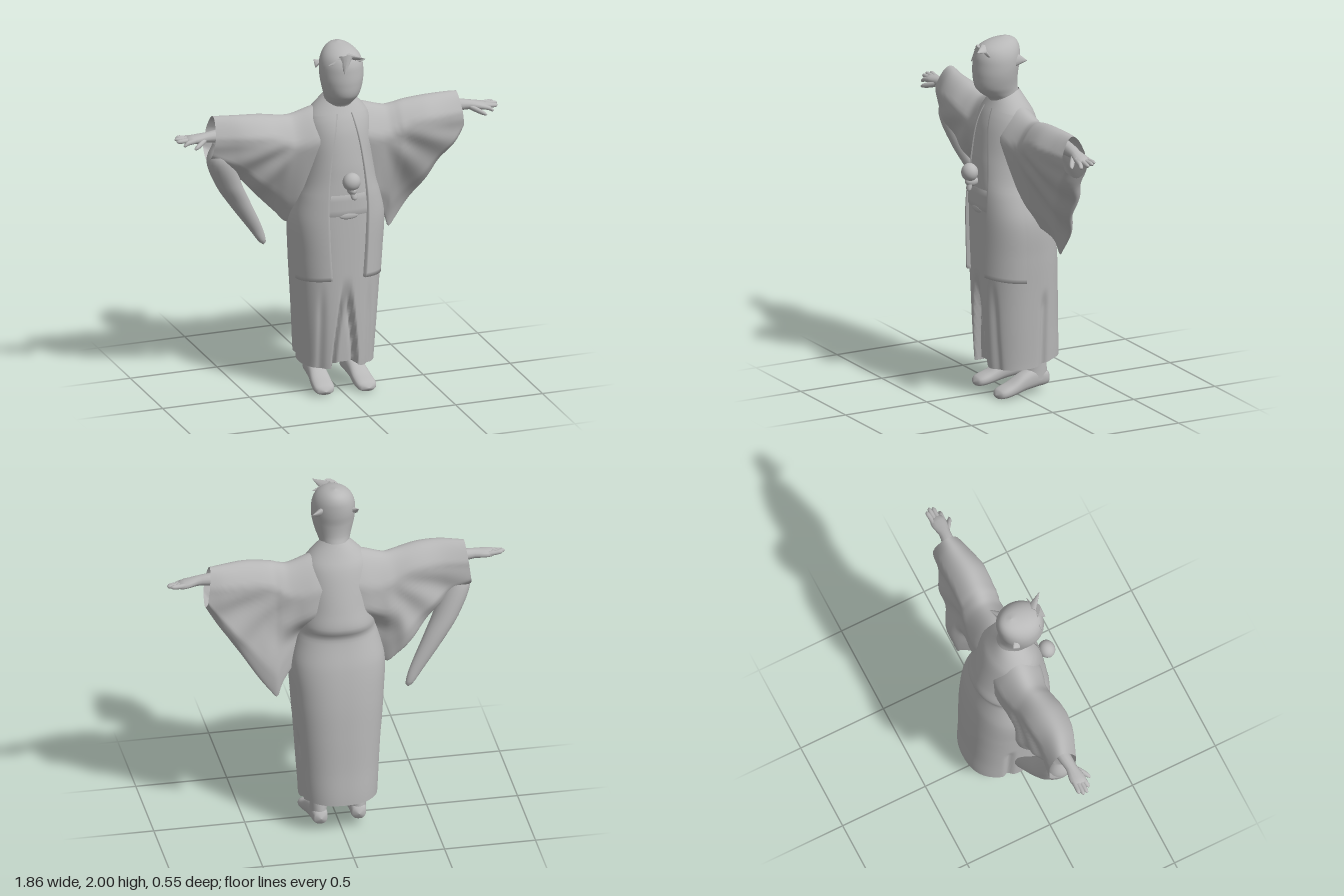
import * as THREE from 'three';

const clamp = (v) => Math.min(1, Math.max(0, v));
const step = (a, b, v) => { const t = clamp((v - a) / (b - a)); return t * t * (3 - 2 * t); };
const mix = (a, b, t) => a + (b - a) * t;
const pow = (v, p) => Math.sign(v) * Math.abs(v) ** p;
const bump = (v, c, w) => Math.exp(-(((v - c) / w) ** 2));

// Smooth lookup in a table whose first column is the key (ascending)
function look(table, k) {
  const n = table.length;
  let i = 0;
  while (i < n - 2 && k > table[i + 1][0]) i++;
  const a = table[i], b = table[i + 1], d = b[0] - a[0], t = clamp((k - a[0]) / d);
  const slope = (j, c) => {
    const p = table[Math.max(0, j - 1)], q = table[Math.min(n - 1, j + 1)];
    return ((q[c] - p[c]) / (q[0] - p[0])) * d;
  };
  return a.slice(1).map((v, m) => {
    const c = m + 1, t2 = t * t, t3 = t2 * t;
    return v * (2 * t3 - 3 * t2 + 1) + b[c] * (3 * t2 - 2 * t3)
      + slope(i, c) * (t3 - 2 * t2 + t) + slope(i + 1, c) * (t3 - t2);
  });
}

// Grid surface from f(u, v) -> [x, y, z]; wraps in u when closed, faces outwards
function surface(nu, nv, f, closed = true) {
  const cols = closed ? nu : nu + 1, pos = [], idx = [];
  for (let j = 0; j <= nv; j++) for (let i = 0; i < cols; i++) pos.push(...f(i / nu, j / nv));
  for (let j = 0; j < nv; j++) for (let i = 0; i < nu; i++) {
    const a = j * cols + i, b = j * cols + (i + 1) % cols, c = a + cols, d = b + cols;
    idx.push(a, b, d, a, d, c);
  }
  const P = (i) => new THREE.Vector3(pos[3 * i], pos[3 * i + 1] - 1, pos[3 * i + 2]);
  let volume = 0;
  for (let i = 0; i < idx.length; i += 3) volume += P(idx[i]).dot(P(idx[i + 1]).cross(P(idx[i + 2])));
  if (volume < 0) idx.reverse();
  const g = new THREE.BufferGeometry();
  g.setAttribute('position', new THREE.Float32BufferAttribute(pos, 3));
  g.setIndex(idx);
  g.computeVertexNormals();
  return g;
}

// Loft of ovals along an axis; rows are [t, centre1, centre2, radius1, radius2], t ascending
function loft(rows, axis, nu = 16, nv = 24, p = 1) {
  return surface(nu, nv, (u, v) => {
    const t = mix(rows[0][0], rows[rows.length - 1][0], v);
    const [c1, c2, r1, r2] = look(rows, t), a = u * Math.PI * 2;
    const q = c1 + Math.max(0, r1) * pow(Math.sin(a), p), r = c2 + Math.max(0, r2) * pow(Math.cos(a), p);
    return axis === 'x' ? [t, q, r] : axis === 'y' ? [q, t, r] : [q, r, t];
  });
}

// Robe profile: height, half width, front z, back z
const ROBE = [
  [0.15, 0.21, 0.165, -0.26], [0.2, 0.212, 0.17, -0.273], [0.4, 0.225, 0.18, -0.265],
  [0.6, 0.238, 0.186, -0.26], [0.8, 0.252, 0.19, -0.25], [1.0, 0.26, 0.193, -0.225],
  [1.15, 0.225, 0.194, -0.19], [1.19, 0.212, 0.194, -0.188], [1.24, 0.205, 0.193, -0.212],
  [1.34, 0.193, 0.188, -0.195], [1.5, 0.188, 0.165, -0.155], [1.58, 0.175, 0.14, -0.128],
  [1.63, 0.14, 0.115, -0.1], [1.7, 0.07, 0.08, -0.06],
];
// Sections are boxier below the waist than above it
const squareness = (y) => 0.85 + 0.13 * step(1.1, 1.4, y);

function robePoint(y, a, off = 0) {
  const [w, f, b] = look(ROBE, y), p = squareness(y), s = pow(Math.sin(a), p), c = pow(Math.cos(a), p);
  let x = (w + off) * s, z = (f + b) / 2 + ((f - b) / 2 + off) * c;
  if (off === 0) {
    // recessed centre panel that widens downwards, side pleats, and a slit behind each hip
    const low = 1 - step(0.45, 0.7, y), spread = 0.045 * (1 - step(0.15, 0.7, y));
    if (c > 0) {
      const l = -0.03 - spread, r = 0.008 + spread;
      z -= low * (0.03 * step(l - 0.012, l + 0.006, x) * (1 - step(r - 0.006, r + 0.012, x))
        + 0.03 * (bump(x, l + 0.008, 0.01) + bump(x, r - 0.008, 0.01))
        + 0.012 * bump(x, -0.14, 0.018) + 0.012 * bump(x, 0.13, 0.018));
    }
    x -= Math.sign(x) * 0.02 * bump(z, -0.1, 0.02) * (1 - step(0.5, 0.62, y));
  }
  return [x, y, z];
}
const hemY = (a) => 0.165 + 0.035 * step(0.2, -0.6, Math.cos(a)) + 0.03 * step(0.94, 1, Math.cos(a));

export function createModel() {
  const model = new THREE.Group();
  const clay = new THREE.MeshStandardMaterial({ color: 0xb8b8b8, side: THREE.DoubleSide });
  clay.name = 'plain grey';
  const add = (name, geometry, parent = model) => {
    const m = new THREE.Mesh(geometry, clay);
    m.name = name;
    parent.add(m);
    return m;
  };

  // Robe and the closed underside of its hem
  add('robe', surface(160, 80, (u, v) => {
    const a = u * Math.PI * 2;
    return robePoint(mix(hemY(a), 1.7, v), a);
  }));
  add('hemLining', surface(160, 2, (u, v) => {
    const a = u * Math.PI * 2, [x, y, z] = robePoint(hemY(a), a);
    return [x * (1 - v), y + 0.03 * v, mix(z, -0.05, v)];
  }));

  // Open coat fronts, with a turned-in edge and hem, fading into the robe at the side and collar
  const EDGE = [[0.66, 0.085], [0.9, 0.1], [1.15, 0.105], [1.4, 0.08], [1.66, 0.03]];
  for (const s of [1, -1]) {
    add(s > 0 ? 'leftCoatFront' : 'rightCoatFront', surface(24, 40, (u, v) => {
      const uu = Math.max(0, u - 1 / 24) * 24 / 23;
      const y = 0.685 - 0.025 * uu + 0.93 * Math.max(0, v - 0.025) / 0.975;
      const [w] = look(ROBE, y), [e] = look(EDGE, y);
      const a0 = Math.asin(clamp(e / w) ** (1 / squareness(y)));
      const off = u === 0 || v === 0 ? -0.02 : 0.02 * (1 - uu) * (1 - 0.92 * v) + 0.0005;
      return robePoint(y, s * mix(a0, 1.4, uu), off);
    }, false));
  }

  // Sash panel, its knot, and the pompon with a tassel
  add('sash', surface(16, 6, (u, v) => robePoint(1.03 + 0.16 * v, (u - 0.5) * 0.8,
    v === 0 || v === 1 ? -0.01 : 0.004), false));
  const ball = (name, r, x, y, z, sx = 1, sy = 1, sz = 1) => {
    const m = add(name, new THREE.SphereGeometry(r, 24, 16));
    m.position.set(x, y, z);
    m.scale.set(sx, sy, sz);
  };
  ball('sashKnot', 0.03, 0, 1.05, 0.19, 1.8, 0.7, 0.35);
  ball('pompon', 0.05, 0, 1.26, 0.235, 1, 1, 0.9);
  ball('pomponCord', 0.026, 0.005, 1.21, 0.225, 1, 1.1, 1.5);
  add('tassel', loft([[1.155, 0.012, 0.25, 0, 0], [1.165, 0.012, 0.248, 0.016, 0.012],
    [1.215, 0.005, 0.235, 0.02, 0.015]], 'y', 12, 8));

  // Sleeves: x, top, bottom, half thickness, centre z
  const SLEEVES = {
    left: [[0.05, 1.65, 1.15, 0.13, -0.005], [0.15, 1.625, 1.04, 0.136, -0.005],
      [0.27, 1.588, 0.955, 0.115, -0.01], [0.32, 1.592, 0.9, 0.11, -0.005], [0.345, 1.598, 0.835, 0.108, 0],
      [0.38, 1.605, 0.87, 0.106, 0], [0.5, 1.615, 1.04, 0.106, 0.004],
      [0.63, 1.612, 1.24, 0.088, -0.01], [0.695, 1.608, 1.38, 0.07, -0.015]],
    right: [[0.05, 1.65, 1.15, 0.13, -0.005], [0.15, 1.63, 1.04, 0.136, -0.005],
      [0.26, 1.6, 0.96, 0.115, -0.01], [0.32, 1.605, 1.015, 0.11, 0], [0.45, 1.628, 1.15, 0.112, 0.01],
      [0.57, 1.636, 1.28, 0.1, 0.005], [0.7, 1.635, 1.38, 0.08, -0.03]],
  };
  for (const [side, table] of Object.entries(SLEEVES)) {
    const s = side === 'left' ? 1 : -1, end = table[table.length - 1][0];
    add(side + 'Sleeve', surface(64, 56, (u, v) => {
      const x = mix(0.05, end, v), [top, bottom, w, centre] = look(table, x), a = u * Math.PI * 2;
      const depth = (1 - Math.cos(a)) / 2, d = (top - bottom) * depth, face = Math.sign(Math.sin(a));
      // next to the torso the back stays full down to the waist, then tucks under
      const inner = 1 - step(0.16, 0.42, x);
      const taper = 1 - 0.85 * clamp((d - 0.15) / 0.6);
      const tuck = 1 - 0.9 * step(0.3, 0.46, d);
      const h = w * Math.sqrt(clamp(d / (0.1 + 0.07 * inner)))
        * mix(taper, face < 0 ? tuck : taper, inner) * Math.sqrt(clamp((1 - depth) * 5));
      // folds fan out from the shoulder
      const fold = 0.01 * Math.sin(16 * Math.atan2(d, x - 0.12)) * step(0.1, 0.25, d) * step(0.22, 0.4, x);
      const z = centre - mix(0.14, 0.03, 1 - step(0.2, 0.36, x)) * step(0.12, 0.75, d);
      return [s * (x + 0.03 * depth * step(0.6, 0.7, x)), top - d, z + face * h + fold];
    }));
  }
  // Long loose flap trailing from the right cuff
  add('rightSleeveFlap', loft([[0.82, -0.372, -0.13, 0, 0], [0.835, -0.376, -0.13, 0.018, 0.016],
    [0.92, -0.418, -0.122, 0.038, 0.026], [1.1, -0.528, -0.09, 0.062, 0.052],
    [1.22, -0.598, -0.06, 0.072, 0.07], [1.38, -0.66, -0.025, 0.074, 0.078],
    [1.48, -0.66, -0.02, 0.04, 0.05]], 'y', 20, 36));

  // Forearms and hands
  for (const s of [1, -1]) {
    const hand = new THREE.Group(), dip = s > 0 ? -0.02 : 0.005;
    hand.name = s > 0 ? 'leftHand' : 'rightHand';
    model.add(hand);
    const limb = (name, rows) => {
      const r = rows.map(([x, y, z, a, b]) => [s * x, y + dip * step(0.7, 0.92, x), z, a, b]);
      if (s < 0) r.reverse();
      add(name, loft(r, 'x', 12, 16), hand);
    };
    limb('forearm', [[0.5, 1.53, -0.02, 0.045, 0.045], [0.7, 1.53, -0.005, 0.034, 0.036],
      [0.76, 1.53, 0, 0.027, 0.032], [0.81, 1.527, 0, 0.024, 0.042], [0.86, 1.525, 0, 0.018, 0.036],
      [0.88, 1.525, 0, 0, 0]]);
    limb('thumb', [[0.76, 1.522, 0.015, 0.016, 0.018], [0.8, 1.508, 0.045, 0.016, 0.017],
      [0.83, 1.498, 0.064, 0.011, 0.012], [0.845, 1.492, 0.07, 0, 0]]);
    [[0.895, 1.508, 0.036], [0.925, 1.525, 0.012], [0.93, 1.532, -0.01], [0.915, 1.536, -0.03]].forEach(
      ([x, y, z], i) => limb('finger' + (i + 1), [[0.82, 1.527, z * 0.8, 0.015, 0.014],
        [0.87, (1.527 + y) / 2, z * 0.9, 0.013, 0.013], [x - 0.01, y, z, 0.01, 0.01], [x, y, z, 0, 0]]));
  }

  // Head and neck, tipped forward: height, x, z, half width, half depth
  add('head', loft([[1.56, 0, -0.01, 0.14, 0.11], [1.62, 0, 0.002, 0.105, 0.098],
    [1.66, 0, 0.022, 0.08, 0.092], [1.69, 0, 0.05, 0.084, 0.108], [1.73, 0, 0.073, 0.098, 0.12],
    [1.8, 0, 0.078, 0.115, 0.126], [1.86, 0, 0.072, 0.119, 0.13], [1.91, 0, 0.067, 0.113, 0.128],
    [1.95, 0, 0.058, 0.094, 0.115], [1.98, 0, 0.04, 0.062, 0.08], [1.995, 0, 0.025, 0.028, 0.036],
    [2.0, 0, 0.02, 0, 0]], 'y', 40, 60));

  // Pointed locks of hair: start, tip, radius
  const lock = (name, from, to, r) => {
    const a = new THREE.Vector3(...from), dir = new THREE.Vector3(...to).sub(a);
    const m = add(name, new THREE.ConeGeometry(r, dir.length(), 12));
    m.position.copy(a).addScaledVector(dir, 0.5);
    m.quaternion.setFromUnitVectors(new THREE.Vector3(0, 1, 0), dir.normalize());
    m.scale.z = 0.5;
  };
  lock('forelock', [0.02, 1.945, 0.15], [0.085, 1.955, 0.235], 0.035);
  lock('middleLock', [-0.01, 1.955, 0.165], [-0.03, 1.87, 0.212], 0.045);
  lock('rightLock', [-0.02, 1.935, 0.165], [-0.105, 1.91, 0.15], 0.028);
  lock('leftLock', [0.02, 1.935, 0.165], [0.1, 1.92, 0.16], 0.028);
  lock('leftTuft', [0.09, 1.88, -0.01], [0.138, 1.885, -0.045], 0.035);
  lock('rightTuft', [-0.1, 1.87, 0.0], [-0.122, 1.89, -0.03], 0.03);

  // Feet: z, x, y, half width, half height
  for (const s of [1, -1]) {
    const foot = new THREE.Group();
    foot.name = s > 0 ? 'leftFoot' : 'rightFoot';
    foot.position.set(s > 0 ? 0.125 : -0.105, s > 0 ? 0 : 0.01, 0);
    foot.rotation.y = s * 0.06;
    model.add(foot);
    add('shoe', loft([[-0.185, 0, 0.08, 0, 0], [-0.175, 0, 0.082, 0.034, 0.034],
      [-0.1, 0, 0.09, 0.045, 0.055], [-0.02, 0, 0.075, 0.05, 0.05], [0.06, 0, 0.045, 0.057, 0.036],
      [0.12, 0, 0.03, 0.054, 0.027], [0.145, 0, 0.024, 0.03, 0.016], [0.15, 0, 0.023, 0, 0]],
    'z', 24, 30, 0.8), foot);
    add('ankle', loft([[0.08, 0, -0.105, 0.046, 0.07], [0.15, 0, -0.11, 0.046, 0.06],
      [0.3, 0, -0.09, 0.05, 0.06]], 'y', 20, 8), foot);
  }
  return model;
}
